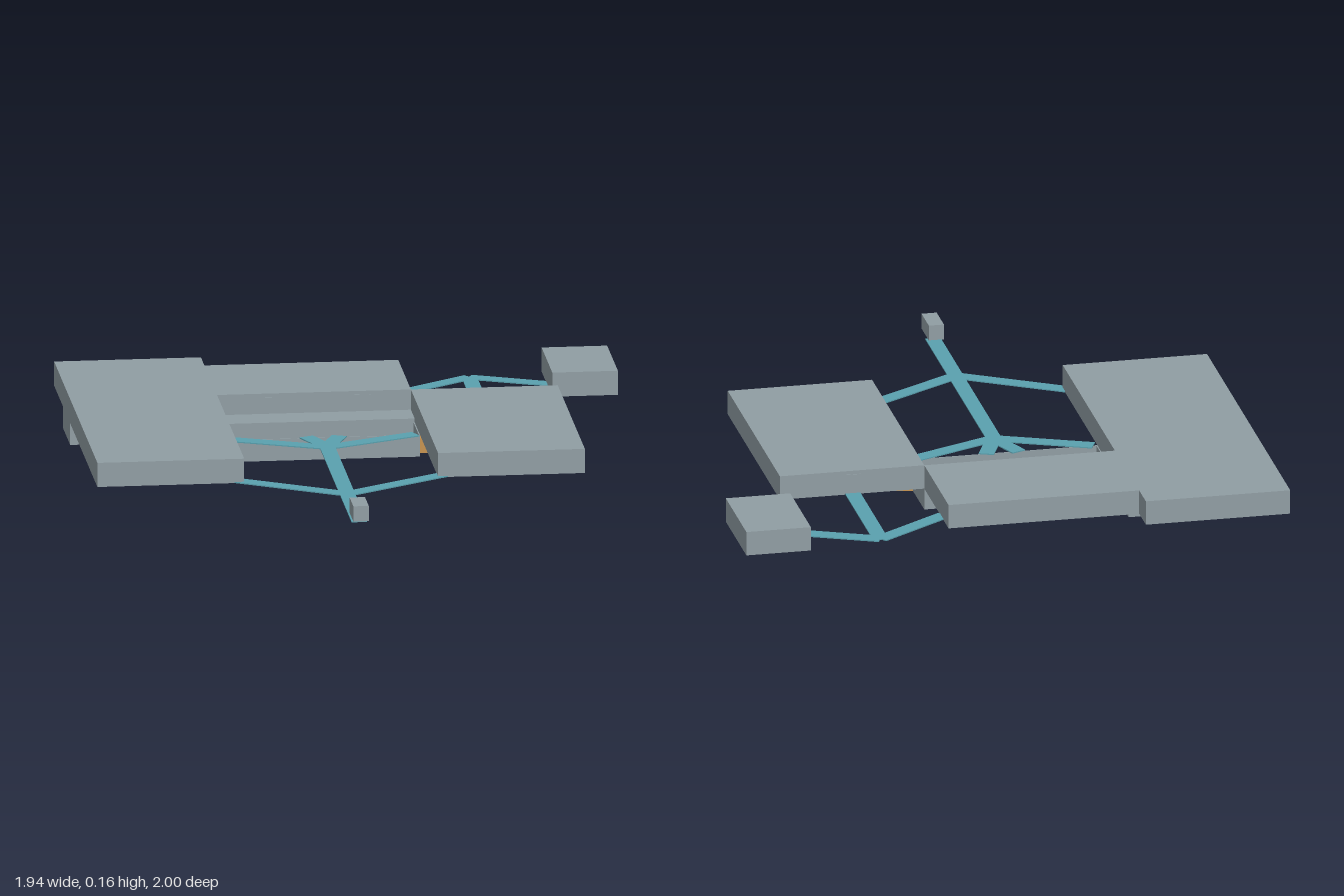
import * as THREE from 'three';

export function createModel() {
  const group = new THREE.Group();
  const grey = new THREE.MeshStandardMaterial({ name: 'slate grey', color: 0x909da3 });
  const teal = new THREE.MeshStandardMaterial({ name: 'walkway teal', color: 0x5aa1af });
  const orange = new THREE.MeshStandardMaterial({ name: 'ramp orange', color: 0xc8944f });

  // Box given by its extents on each axis
  function block(name, mat, x0, x1, y0, y1, z0, z1) {
    const mesh = new THREE.Mesh(new THREE.BoxGeometry(x1 - x0, y1 - y0, z1 - z0), mat);
    mesh.position.set((x0 + x1) / 2, (y0 + y1) / 2, (z0 + z1) / 2);
    mesh.name = name;
    group.add(mesh);
    return mesh;
  }

  // Thin flat walkway between two plan points
  function walkway(name, x0, z0, x1, z1) {
    const dx = x1 - x0, dz = z1 - z0;
    const mesh = new THREE.Mesh(new THREE.BoxGeometry(Math.hypot(dx, dz), 0.004, 0.054), teal);
    mesh.position.set((x0 + x1) / 2, 0.08, (z0 + z1) / 2);
    mesh.rotation.y = -Math.atan2(dz, dx);
    mesh.name = name;
    group.add(mesh);
  }

  const L = -0.455, R = 0.225, C = -0.115; // courtyard sides and centre line
  const low = 0.078, high = 0.165;

  // Upper storey
  block('longWing', grey, -0.97, L, low, high, -1, 0.37);
  block('middleWing', grey, L, R, low, high, -0.89, -0.49);
  block('shortWing', grey, R, 0.74, low, high, -0.49, 0.37);
  block('annex', grey, 0.74, 0.97, low, high, -1, -0.66);
  block('gatehouse', grey, C - 0.027, C + 0.027, 0.097, 0.152, 0.88, 1);

  // Lower storey: side block and sunken court
  block('lowerSideBlock', grey, -0.97, L, 0, low, -0.715, -0.49);
  block('lowerTerrace', grey, L, R, 0, 0.092, -0.49, -0.37);
  block('courtFloor', grey, L, R, 0, 0.008, -0.37, -0.2);
  block('courtFrontWall', grey, L, R, 0, low, -0.204, -0.2);
  block('courtSideWall', grey, L, L + 0.004, 0, low, -0.37, -0.2);
  block('courtSideWall', grey, R - 0.004, R, 0, low, -0.37, -0.2);

  // Doors on the walls
  for (const x of [-0.29, 0.055]) block('courtDoor', grey, x - 0.028, x + 0.028, 0.097, 0.152, -0.49, -0.487);
  block('rearDoor', grey, 0.452, 0.508, 0.097, 0.152, -0.493, -0.49);
  block('lowerDoor', grey, L, L + 0.003, 0, low, -0.53, -0.49);

  // Ramps falling from both ends to the middle of the court
  for (const s of [-1, 1]) {
    const ramp = block('ramp', orange, 0, 0.597, 0, 1, -0.025, 0.025);
    const p = ramp.geometry.attributes.position;
    for (let i = 0; i < p.count; i++) {
      const t = p.getX(i) > 0 ? 1 : 0;
      const top = p.getY(i) > 0;
      p.setXYZ(i, s * t * 0.597, top ? 0.016 + t * 0.061 : 0, p.getZ(i) - 0.345 + t * 0.12);
    }
    // mirrored half needs its corner order reversed
    if (s < 0) ramp.geometry.index.array.reverse();
    ramp.geometry.computeVertexNormals();
    ramp.position.set(C, 0, 0);
  }
  block('rearStep', orange, -0.74, -0.715, 0, low, -0.74, -0.715);

  // Front walkways
  walkway('mainWalk', C, -0.07, C, 0.94);
  for (const s of [-1, 1]) {
    walkway('frontBranch', C, 0.565, C + s * 0.38, 0.335);
    walkway('outerSpoke', C, -0.065, C + s * 0.325, -0.205);
    walkway('innerSpoke', C, -0.07, C + s * 0.058, -0.21);
  }

  // Rear walkways
  walkway('rearWalk', 0.48, -0.95, 0.48, -0.48);
  walkway('rearBranch', 0.48, -0.945, 0.215, -0.765);
  walkway('annexBranch', 0.48, -0.945, 0.75, -0.825);

  return group;
}
